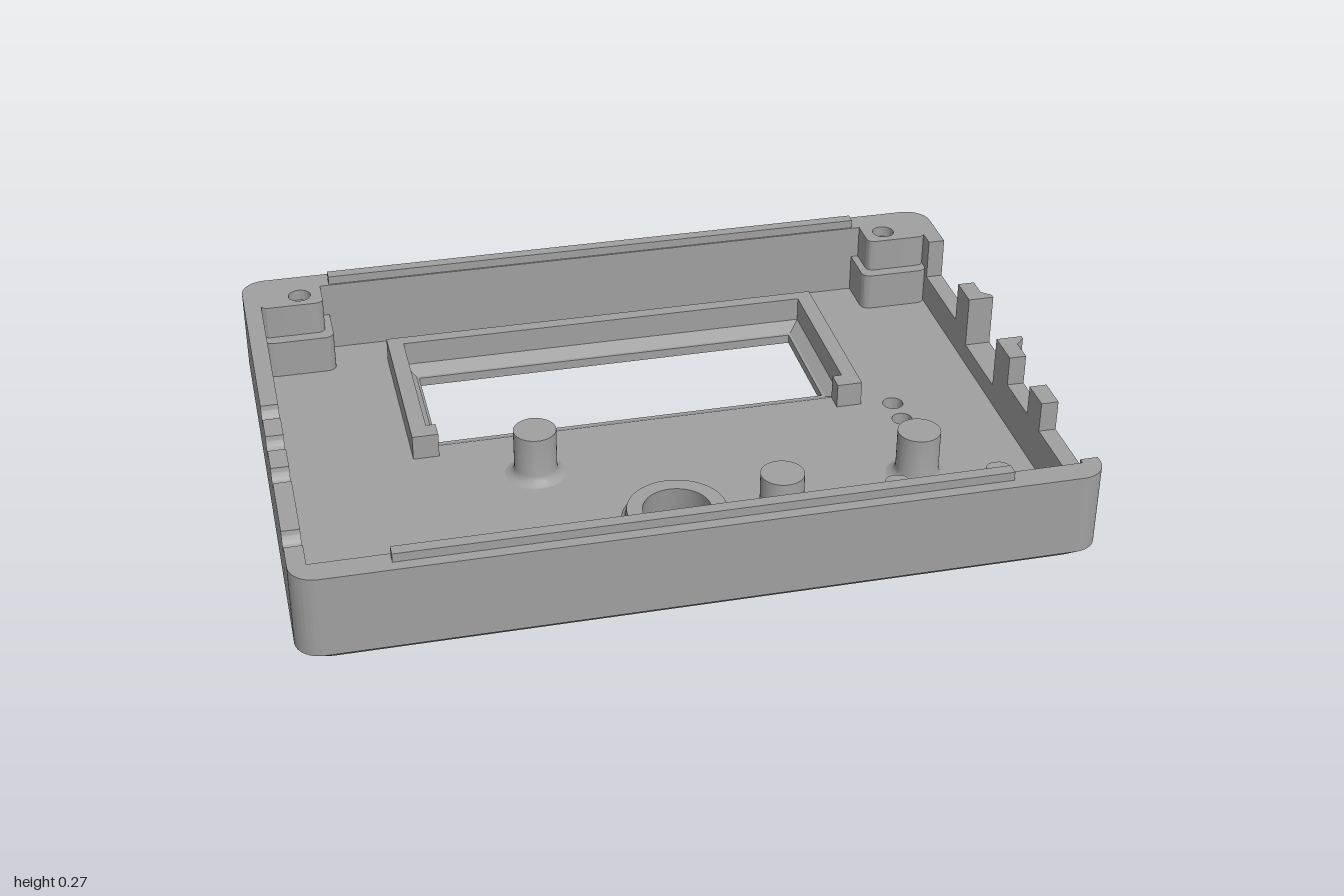
import * as THREE from 'three';
import { toCreasedNormals } from 'three/addons/utils/BufferGeometryUtils.js';

const X0 = -0.997, X1 = 0.973, Z = 0.71, ZI = 0.645;   // shell outline, inner wall
const XI0 = -0.952, XI1 = 0.928, CX = -0.012;
const BASE = 0.025, FLOOR = 0.045, TOP = 0.242;

export function createModel() {
  const model = new THREE.Group();
  const grey = new THREE.MeshStandardMaterial({ color: 0xa0a0a0 });
  grey.name = 'case grey';
  grey.side = THREE.DoubleSide;

  const add = (name, geo, x = 0, y = 0, z = 0) => {
    const mesh = new THREE.Mesh(toCreasedNormals(geo, 0.6), grey);
    mesh.name = name;
    mesh.position.set(x, y, z);
    model.add(mesh);
    return mesh;
  };

  // Plan outline; radii at the back and front corners
  const outline = (x0, x1, z0, z1, rb = 0, rf = rb) => {
    const s = new THREE.Shape();
    const b = -z1, t = -z0;
    s.moveTo(x0 + rf, b);
    s.lineTo(x1 - rf, b);
    if (rf) s.absarc(x1 - rf, b + rf, rf, -Math.PI / 2, 0);
    s.lineTo(x1, t - rb);
    if (rb) s.absarc(x1 - rb, t - rb, rb, 0, Math.PI / 2);
    s.lineTo(x0 + rb, t);
    if (rb) s.absarc(x0 + rb, t - rb, rb, Math.PI / 2, Math.PI);
    s.lineTo(x0, b + rf);
    if (rf) s.absarc(x0 + rf, b + rf, rf, Math.PI, Math.PI * 1.5);
    return s;
  };
  const circle = (x, z, r) => new THREE.Path().absarc(x, -z, r, 0, Math.PI * 2, true);
  const upright = (shape, y0, y1) =>
    new THREE.ExtrudeGeometry(shape, { depth: y1 - y0, bevelEnabled: false, curveSegments: 14 })
      .rotateX(-Math.PI / 2).translate(0, y0, 0);
  const sideways = (shape, x0, x1) =>
    new THREE.ExtrudeGeometry(shape, { depth: x1 - x0, bevelEnabled: false, curveSegments: 10 })
      .rotateY(Math.PI / 2).translate(x0, 0, 0);

  // Skin over equal-sized cross-sections, each a closed ring of points
  const loft = (sections, caps) => {
    const n = sections[0].length, index = [];
    for (let i = 0; i < sections.length - 1; i++)
      for (let j = 0; j < n; j++) {
        const a = i * n + j, b = i * n + (j + 1) % n;
        index.push(a, b, b + n, a, b + n, a + n);
      }
    if (caps) {
      const e = (sections.length - 1) * n;
      index.push(0, 2, 1, 0, 3, 2, e, e + 1, e + 2, e, e + 2, e + 3);
    }
    const g = new THREE.BufferGeometry();
    g.setAttribute('position', new THREE.Float32BufferAttribute(sections.flat(2), 3));
    g.setIndex(index);
    return g;
  };

  // Floor: chamfered lower plate and upper plate, both pierced
  const screws = [[-0.845, -0.605], [0.82, -0.605], [-0.635, 0.6], [0.62, 0.6]];
  const pierce = (shape, x0, x1, z0, z1) => {
    shape.holes.push(outline(x0, x1, z0, z1), circle(-0.02, 0.38, 0.1));
    for (const [x, z] of screws) shape.holes.push(circle(x, z, 0.033));
    for (const z of [-0.015, 0.065, 0.145]) shape.holes.push(circle(0.67, z, 0.027));
    return shape;
  };
  const lower = upright(pierce(outline(X0, X1, -Z, Z, 0.065), -0.548, 0.505, -0.457, -0.126), 0, BASE);
  const p = lower.attributes.position;
  for (let i = 0; i < p.count; i++) {
    const x = p.getX(i), z = p.getZ(i);
    if (p.getY(i) < 0.001 && (Math.abs(x - CX) > 0.9 || Math.abs(z) > 0.64)) {
      p.setX(i, CX + (x - CX) * (1 - 0.028 / 0.985));
      p.setZ(i, z * (1 - 0.028 / Z));
    }
  }
  add('bottomPlate', lower);
  add('floorPlate', upright(pierce(outline(-0.96, 0.94, -0.65, 0.65), -0.58, 0.543, -0.505, -0.08), BASE, FLOOR));
  const rect = (x0, x1, z0, z1, y) => [[x0, y, z0], [x0, y, z1], [x1, y, z1], [x1, y, z0]];
  add('windowSlope', loft([
    rect(-0.548, 0.505, -0.457, -0.126, 0.02), rect(-0.58, 0.543, -0.505, -0.08, FLOOR)]));

  // Front and back walls with the rounded corners, plus locating lips
  add('frontWall', upright(outline(X0, X1, ZI, Z, 0, 0.065), BASE, TOP));
  add('backWall', upright(outline(X0, X1, -Z, -ZI, 0.065, 0), BASE, TOP));
  for (const s of [-1, 1])
    add(s > 0 ? 'frontLip' : 'backLip', new THREE.BoxGeometry(1.5, 0.043, 0.031), -0.01, 0.2435, s * 0.665);

  // Wall with round cable notches
  const cable = new THREE.Shape();
  cable.moveTo(-ZI, BASE);
  cable.lineTo(-ZI, TOP);
  for (const z of [0.535, 0.265, 0.12, -0.025]) {
    cable.lineTo(-z - 0.033, TOP);
    cable.absarc(-z, TOP, 0.033, Math.PI, Math.PI * 2);
  }
  cable.lineTo(ZI, TOP);
  cable.lineTo(ZI, BASE);
  add('rightCableWall', sideways(cable, X0, XI0));

  // Wall with square connector notches: front z, back z, sill height
  const ports = new THREE.Shape();
  ports.moveTo(-ZI, BASE);
  ports.lineTo(-ZI, TOP);
  for (const [a, b, y] of [[0.63, 0.37, 0.16], [0.285, 0.14, 0.16], [0.04, -0.175, 0.1], [-0.265, -0.515, 0.13]]) {
    ports.lineTo(-a, TOP);
    ports.lineTo(-a, y);
    ports.lineTo(-b, y);
    ports.lineTo(-b, TOP);
  }
  ports.lineTo(ZI, TOP);
  ports.lineTo(ZI, BASE);
  add('leftPortWall', sideways(ports, XI1, X1));

  // Chamfered bezel around the large connector
  const corner = (side, y) => [[X1, 0.075, -0.21, 0.06], [0.997, 0.052, -0.187, 0.082],
    [0.997, 0.04, -0.175, 0.1], [X1, 0.04, -0.175, 0.1]]
    .map(([x, zf, zb, yb]) => [x, y ?? yb, side ? zb : zf]);
  add('portBezel', loft([corner(0, TOP), corner(0), corner(1), corner(1, TOP)], true));

  // Raised arrow marks on the side walls
  const arrow = () => new THREE.ConeGeometry(0.053, 0.012, 3).rotateZ(-Math.PI / 2)
    .rotateX(-Math.PI / 2).scale(1, 0.58, 1);
  add('leftArrow', arrow(), X1 + 0.005, 0.118, 0.5);
  add('rightArrow', arrow().rotateY(Math.PI), X0 + 0.003, 0.155, 0.535);

  // Screw posts: drilled outline with a blind core
  const drilled = (name, shape, [x, z], y0, y1) => {
    shape.holes.push(circle(x, z, 0.03));
    add(name, upright(shape, y0, y1));
  };
  const core = ([x, z], top) => add('screwCore',
    new THREE.CylinderGeometry(0.031, 0.031, top - 0.11, 20), x, (top + 0.05) / 2, z);
  for (const [i, s] of [[0, -1], [1, 1]]) {
    const span = (w) => (s < 0 ? [XI0 - 0.002, XI0 + w] : [XI1 - w, XI1 + 0.002]);
    drilled('cornerPostFoot', outline(...span(0.187), -0.65, -0.52, 0, 0.025), screws[i], FLOOR, 0.15);
    drilled('cornerPost', outline(...span(0.167), -0.65, -0.553, 0, 0.02), screws[i], 0.15, TOP);
    core(screws[i], TOP);
  }
  drilled('frontBoss', outline(-0.71, -0.56, 0.525, 0.65, 0.03, 0), screws[2], FLOOR, 0.145);
  core(screws[2], 0.145);
  drilled('frontBoss', outline(0.52, 0.73, 0.525, 0.65), screws[3], FLOOR, 0.13);
  core(screws[3], 0.13);
  for (const x of [0.465, 0.725])
    add('bossCheek', upright(outline(x, x + 0.06, 0.515, 0.65, 0.025, 0), FLOOR, 0.185));
  add('frontBlock', upright(outline(-0.377, -0.195, 0.535, 0.65, 0.03, 0), FLOOR, 0.15));
  add('cornerBlock', upright(outline(-0.955, -0.87, 0.57, 0.65, 0.03, 0), FLOOR, 0.1));

  // Display frame: open U with inward feet
  const u = [[-0.623, -0.03], [-0.555, -0.03], [-0.555, -0.08], [-0.58, -0.08], [-0.58, -0.505], [0.543, -0.505],
    [0.543, -0.08], [0.518, -0.08], [0.518, -0.03], [0.585, -0.03], [0.585, -0.54], [-0.623, -0.54]];
  add('displayFrame', upright(new THREE.Shape(u.map(([x, z]) => new THREE.Vector2(x, -z))), FLOOR, 0.112));

  // Support pegs with filleted feet
  const turned = (pts) => new THREE.LatheGeometry(pts.map(([r, y]) => new THREE.Vector2(r, y)), 40);
  for (const [x, z] of [[-0.325, 0.1], [0.235, 0.43], [0.625, 0.32]])
    add('supportPeg', turned([[0.078, 0], [0.066, 0.005], [0.058, 0.013], [0.055, 0.025], [0.055, 0.13], [0, 0.13]]), x, FLOOR, z);

  // Tapered collar of the round opening
  add('roundCollar', turned([[0.1, 0], [0.086, 0.075], [0.126, 0.075], [0.13, 0.053], [0.139, FLOOR]]), -0.02, 0, 0.38);

  return model;
}
